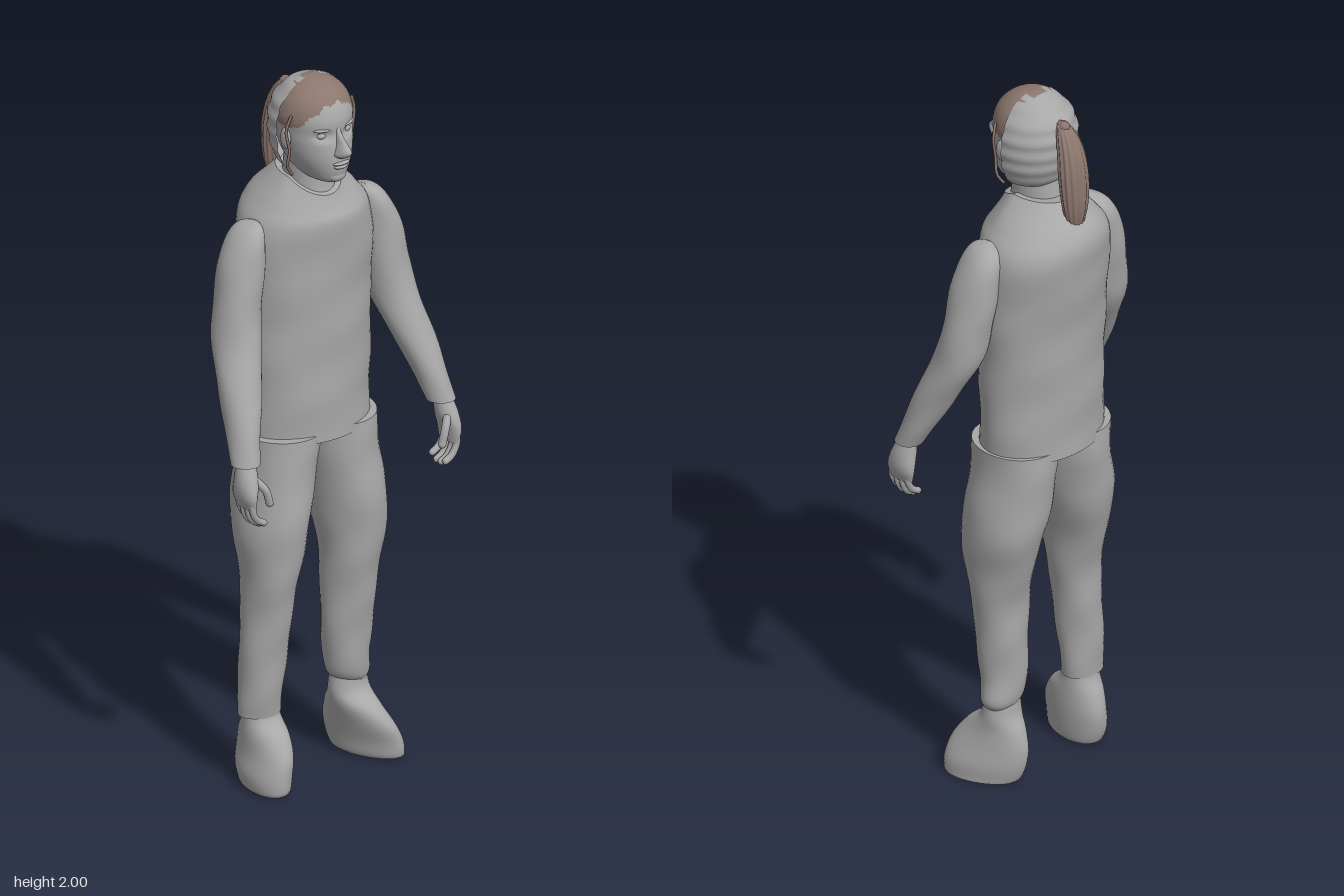
import * as THREE from 'three';

const grey = new THREE.MeshStandardMaterial({ color: 0xa8a8a8, side: THREE.DoubleSide });
grey.name = 'plain grey';
const brown = new THREE.MeshStandardMaterial({ color: 0x8c776e, side: THREE.DoubleSide });
brown.name = 'hair brown';

// Smooth skin over horizontal sections, bottom to top: [y, xMin, xMax, zMin, zMax, shear]
function loft(name, rows, o = {}) {
  const { n = 36, steps = 5, ripple = 0, ribs = 0, warp, paint, material = grey, caps = true, arc = null } = o;
  const size = 6;
  const flat = rows.flatMap(r => [...r, 0].slice(0, size));
  const spline = new THREE.CubicInterpolant(rows.map((_, i) => i), flat, size);
  const count = (rows.length - 1) * steps;
  const cols = arc ? n + 1 : n;
  const pos = [], parts = [[], []], v = new THREE.Vector3();
  const point = (j, i) => {
    const [y, x0, x1, z0, z1, shear] = spline.evaluate(j / steps);
    const a = arc ? arc[0] + (arc[1] - arc[0]) * i / n : i / n * Math.PI * 2;
    const r = 1 + ripple * Math.cos(ribs * a);
    const dz = Math.sin(a) * r * (z1 - z0) / 2;
    v.set((x0 + x1) / 2 + Math.cos(a) * r * (x1 - x0) / 2 + shear * dz, y, (z0 + z1) / 2 + dz);
    if (warp) warp(v, a);
    pos.push(v.x, v.y, v.z);
  };
  for (let j = 0; j <= count; j++) for (let i = 0; i < cols; i++) point(j, i);
  const face = (a, b, c) => {
    const mid = k => (pos[a * 3 + k] + pos[b * 3 + k] + pos[c * 3 + k]) / 3;
    parts[paint && paint(mid(0), mid(1), mid(2)) ? 1 : 0].push(a, b, c);
  };
  for (let j = 0; j < count; j++) for (let i = 0; i < n; i++) {
    const k = (i + 1) % cols, a = j * cols + i, b = a + cols, c = j * cols + k, d = c + cols;
    face(a, b, c);
    face(c, b, d);
  }
  // flat ends, with their own corners so that the rim stays sharp
  if (caps && !arc) for (const j of [0, count]) {
    const base = pos.length / 3, mid = [0, 0, 0];
    for (let i = 0; i < n; i++) {
      point(j, i);
      mid[0] += v.x / n; mid[1] += v.y / n; mid[2] += v.z / n;
    }
    pos.push(...mid);
    for (let i = 0; i < n; i++) {
      const p = base + i, q = base + (i + 1) % n;
      j ? face(base + n, q, p) : face(base + n, p, q);
    }
  }
  const g = new THREE.BufferGeometry();
  g.setAttribute('position', new THREE.Float32BufferAttribute(pos, 3));
  g.setIndex([...parts[0], ...parts[1]]);
  g.computeVertexNormals();
  if (paint) {
    g.addGroup(0, parts[0].length, 0);
    g.addGroup(parts[0].length, parts[1].length, 1);
  }
  const mesh = new THREE.Mesh(g, paint ? [grey, brown] : material);
  mesh.name = name;
  return mesh;
}

function blob(name, x, y, z, rx, ry, rz) {
  const m = new THREE.Mesh(new THREE.SphereGeometry(1, 16, 12), grey);
  m.name = name;
  m.position.set(x, y, z);
  m.scale.set(rx, ry, rz);
  return m;
}

// Tube along points with rounded ends
function strand(name, pts, r, material) {
  const g = new THREE.Group();
  g.name = name;
  const curve = new THREE.CatmullRomCurve3(pts.map(p => new THREE.Vector3(...p)));
  g.add(new THREE.Mesh(new THREE.TubeGeometry(curve, 12, r, 8), material));
  for (const t of [0, 1]) {
    const end = new THREE.Mesh(new THREE.SphereGeometry(r, 8, 6), material);
    end.position.copy(curve.getPoint(t));
    g.add(end);
  }
  return g;
}

// Soft uneven cloth
const cloth = amount => (v, a) => {
  const w = amount * (Math.sin(v.y * 38 + 2 * a) + Math.sin(v.y * 23 - 3 * a + 1));
  v.x += Math.cos(a) * w;
  v.z += Math.sin(a) * w;
};

function makeArm(s) {
  const arm = new THREE.Group();
  arm.name = s > 0 ? 'leftArm' : 'rightArm';
  const side = (y, a, b, z0, z1) => [y, s > 0 ? a : -b, s > 0 ? b : -a, z0, z1];
  arm.add(loft('sleeve', [
    side(1.02, 0.282, 0.358, 0.10, 0.178), side(1.1, 0.258, 0.35, 0.055, 0.155),
    side(1.2, 0.225, 0.338, 0.0, 0.122), side(1.3, 0.193, 0.322, -0.05, 0.085),
    side(1.4, 0.178, 0.306, -0.066, 0.066), side(1.5, 0.165, 0.285, -0.076, 0.06),
    side(1.57, 0.158, 0.256, -0.075, 0.05), side(1.61, 0.16, 0.225, -0.055, 0.03),
    side(1.625, 0.178, 0.19, -0.02, 0.0)], { warp: cloth(0.001) }));
  // hand with slightly curled fingers
  arm.add(loft('palm', [
    side(0.905, 0.318, 0.345, 0.118, 0.195), side(0.94, 0.312, 0.357, 0.11, 0.2),
    side(0.98, 0.3, 0.357, 0.113, 0.19), side(1.03, 0.298, 0.345, 0.118, 0.165)], { n: 20 }));
  for (let i = 0; i < 4; i++) {
    const z = 0.13 + i * 0.019, drop = [0.012, 0, 0, 0.008][i];
    arm.add(strand('finger', [[s * 0.335, 0.925, z], [s * 0.333, 0.89 + drop, z],
      [s * 0.318, 0.864 + drop, z], [s * 0.298, 0.852 + drop, z]], 0.0095, grey));
  }
  arm.add(strand('thumb', [[s * 0.318, 0.985, 0.17], [s * 0.295, 0.955, 0.19],
    [s * 0.283, 0.915, 0.192]], 0.011, grey));
  return arm;
}

function makeHead() {
  const head = new THREE.Group();
  head.name = 'head';
  head.add(loft('neck', [[1.64, -0.075, 0.075, -0.1, 0.08], [1.7, -0.064, 0.064, -0.09, 0.066],
    [1.78, -0.06, 0.06, -0.08, 0.06]]));
  // skull, brown above the hairline
  head.add(loft('skull', [
    [1.728, -0.022, 0.022, 0.04, 0.105], [1.737, -0.047, 0.047, -0.03, 0.121],
    [1.765, -0.067, 0.067, -0.075, 0.13], [1.8, -0.083, 0.083, -0.093, 0.132],
    [1.84, -0.093, 0.093, -0.105, 0.128], [1.872, -0.098, 0.098, -0.107, 0.119],
    [1.91, -0.102, 0.102, -0.105, 0.117], [1.95, -0.089, 0.089, -0.085, 0.102],
    [1.98, -0.062, 0.062, -0.055, 0.072], [1.995, -0.032, 0.032, -0.025, 0.04],
    [2.0, -0.004, 0.004, -0.002, 0.008]], {
    n: 64, steps: 6,
    warp: v => {
      // hollow the eye sockets
      const d = Math.hypot((Math.abs(v.x) - 0.04) / 0.026, (v.y - 1.868) / 0.018);
      if (v.z > 0.05 && d < 1) v.z -= 0.009 * (1 - d * d);
    },
    paint: (x, y, z) => {
      const ax = Math.abs(x), back = ax > 0.045 ? -0.04 : ax < 0.025 ? -0.02 : 0.008;
      return z > back && y > 1.952 - 7 * ax * ax + 0.004 * Math.sin(x * 160);
    }
  }));
  // pulled-back shell of hair behind the ears
  head.add(loft('backHair', [
    [1.755, -0.085, 0.085, -0.075, 0.085], [1.79, -0.106, 0.106, -0.096, 0.11],
    [1.83, -0.115, 0.115, -0.108, 0.122], [1.87, -0.117, 0.117, -0.112, 0.125],
    [1.91, -0.112, 0.112, -0.109, 0.12], [1.95, -0.094, 0.094, -0.092, 0.104],
    [1.98, -0.063, 0.063, -0.06, 0.075], [1.992, -0.035, 0.035, -0.032, 0.04]], {
    arc: [Math.PI, Math.PI * 2],
    warp: (v, a) => {
      const w = 0.002 * Math.sin(v.y * 150);
      v.x += Math.cos(a) * w;
      v.z += Math.sin(a) * w;
    }
  }));
  // ponytail with ridges and its gathered root
  head.add(loft('ponytail', [
    [1.625, -0.008, 0.008, -0.155, -0.145], [1.66, -0.022, 0.022, -0.168, -0.135],
    [1.72, -0.036, 0.038, -0.18, -0.122], [1.8, -0.042, 0.044, -0.18, -0.112],
    [1.87, -0.037, 0.039, -0.167, -0.103], [1.92, -0.026, 0.028, -0.142, -0.093],
    [1.945, -0.012, 0.014, -0.115, -0.085]], { n: 72, ripple: 0.05, ribs: 14, material: brown }));
  head.add(strand('ponytailRoot', [[0.001, 1.93, -0.082], [0.001, 1.935, -0.11]], 0.017, brown));
  // face
  head.add(loft('nose', [
    [1.808, -0.012, 0.012, 0.11, 0.142], [1.817, -0.021, 0.021, 0.1, 0.158],
    [1.832, -0.017, 0.017, 0.1, 0.169], [1.85, -0.011, 0.011, 0.1, 0.153],
    [1.872, -0.008, 0.008, 0.1, 0.13], [1.89, -0.008, 0.008, 0.1, 0.118]], { n: 20 }));
  head.add(blob('upperLip', 0, 1.791, 0.13, 0.026, 0.005, 0.011));
  head.add(blob('lowerLip', 0, 1.781, 0.128, 0.022, 0.006, 0.011));
  head.add(blob('chin', 0, 1.75, 0.114, 0.026, 0.017, 0.015));
  for (const s of [-1, 1]) {
    head.add(blob('eye', s * 0.039, 1.868, 0.096, 0.015, 0.009, 0.011));
    const brow = blob('brow', s * 0.041, 1.886, 0.104, 0.026, 0.005, 0.008);
    brow.rotation.y = s * 0.35;
    head.add(brow);
    head.add(blob('ear', s * 0.1, 1.85, 0.022, 0.011, 0.03, 0.018));
    head.add(strand('looseHair', [[s * 0.1, 1.92, 0.045], [s * 0.112, 1.88, 0.04],
      [s * 0.102, 1.82, 0.042], [s * 0.104, 1.775, 0.035], [s * 0.085, 1.745, 0.03]], 0.004, brown));
  }
  return head;
}

export function createModel() {
  const model = new THREE.Group();
  model.name = 'standingFigure';

  // sleeveless top with a dipped collar
  const drape = cloth(0.0013);
  model.add(loft('torso', [
    [0.978, -0.181, 0.191, -0.16, 0.1], [1.1, -0.18, 0.192, -0.163, 0.101],
    [1.25, -0.18, 0.195, -0.168, 0.102], [1.4, -0.181, 0.2, -0.178, 0.103],
    [1.52, -0.182, 0.204, -0.194, 0.108], [1.6, -0.172, 0.192, -0.2, 0.11],
    [1.65, -0.138, 0.152, -0.185, 0.104], [1.69, -0.102, 0.112, -0.15, 0.096],
    [1.722, -0.073, 0.08, -0.12, 0.084]], {
    n: 56,
    warp: (v, a) => {
      drape(v, a);
      v.y -= Math.max(0, v.z) * 0.5 * THREE.MathUtils.smoothstep(v.y, 1.6, 1.72);
    }
  }));

  // trousers
  const fold = cloth(0.0012);
  model.add(loft('rightTrouserLeg', [
    [0.2, -0.222, -0.104, -0.056, 0.042], [0.26, -0.225, -0.1, -0.06, 0.05],
    [0.4, -0.22, -0.09, -0.066, 0.066], [0.52, -0.214, -0.08, -0.07, 0.082],
    [0.62, -0.215, -0.065, -0.09, 0.099], [0.72, -0.222, -0.042, -0.122, 0.11],
    [0.8, -0.217, -0.02, -0.137, 0.108], [0.9, -0.2, 0.0, -0.145, 0.102],
    [1.0, -0.198, 0.02, -0.147, 0.098]], { warp: fold }));
  model.add(loft('leftTrouserLeg', [
    [0.215, 0.1, 0.178, -0.045, 0.035], [0.24, 0.066, 0.189, -0.058, 0.046],
    [0.3, 0.052, 0.183, -0.062, 0.054], [0.4, 0.046, 0.19, -0.066, 0.066],
    [0.52, 0.043, 0.197, -0.07, 0.082], [0.62, 0.04, 0.21, -0.09, 0.099],
    [0.72, 0.028, 0.222, -0.122, 0.11], [0.8, 0.013, 0.22, -0.137, 0.108],
    [0.9, 0.0, 0.203, -0.145, 0.102], [1.0, -0.02, 0.2, -0.147, 0.098]], { warp: fold }));

  // shoes, the left one turned further out
  model.add(loft('rightShoe', [
    [0.0, -0.222, -0.12, -0.06, 0.113, -0.1], [0.012, -0.23, -0.113, -0.072, 0.123, -0.1],
    [0.05, -0.232, -0.108, -0.085, 0.125, -0.08], [0.1, -0.22, -0.105, -0.088, 0.12, -0.05],
    [0.15, -0.215, -0.105, -0.075, 0.09], [0.19, -0.21, -0.108, -0.056, 0.046],
    [0.235, -0.207, -0.112, -0.05, 0.036]]));
  model.add(loft('leftShoe', [
    [0.0, 0.125, 0.215, -0.06, 0.113, 0.38], [0.012, 0.115, 0.215, -0.072, 0.123, 0.38],
    [0.05, 0.105, 0.213, -0.085, 0.125, 0.35], [0.1, 0.09, 0.2, -0.088, 0.12, 0.25],
    [0.15, 0.075, 0.188, -0.075, 0.09, 0.12], [0.19, 0.07, 0.184, -0.056, 0.046],
    [0.24, 0.075, 0.178, -0.05, 0.036]]));

  model.add(makeArm(1), makeArm(-1), makeHead());
  return model;
}
